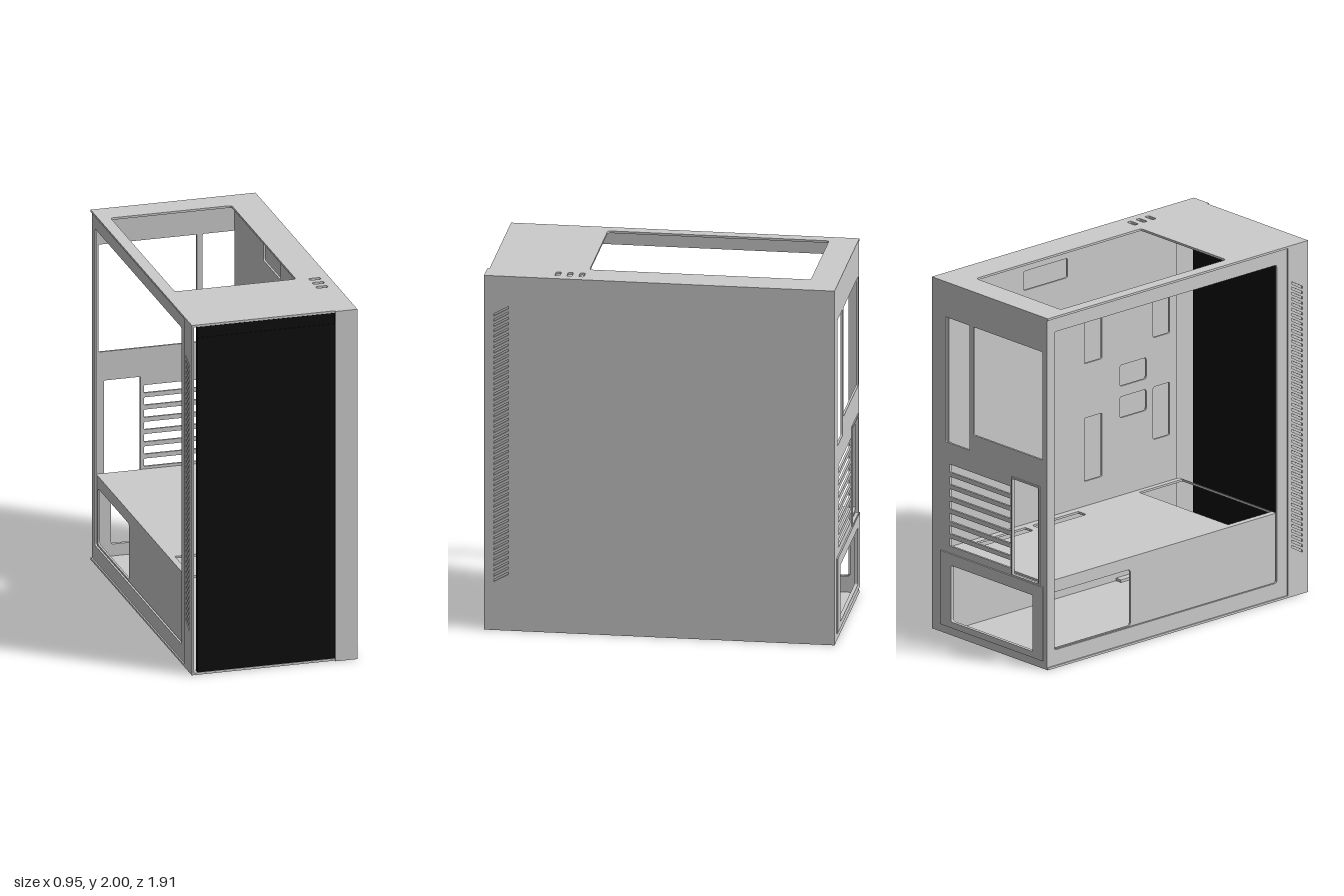
import * as THREE from 'three';

const T = 0.012; // sheet thickness
const W = 0.4625, D = 0.945, H = 2;

const grey = new THREE.MeshStandardMaterial({ color: 0xcccccc, side: THREE.DoubleSide });
const black = new THREE.MeshStandardMaterial({ color: 0x0d0d0d });

// Rounded rectangular cutout
function roundHole(a0, b0, a1, b1, r = 0.012) {
  const p = new THREE.Path();
  p.moveTo(a0 + r, b0);
  p.lineTo(a1 - r, b0);
  p.quadraticCurveTo(a1, b0, a1, b0 + r);
  p.lineTo(a1, b1 - r);
  p.quadraticCurveTo(a1, b1, a1 - r, b1);
  p.lineTo(a0 + r, b1);
  p.quadraticCurveTo(a0, b1, a0, b1 - r);
  p.lineTo(a0, b0 + r);
  p.quadraticCurveTo(a0, b0, a0 + r, b0);
  return p;
}

// Flat sheet with cutouts. The rectangle is (x,y) for axis z, (z,y) for axis x, (x,z) for axis y.
// For x and y "at" is the greater face, for z the lesser one.
function sheet(name, axis, at, [a0, b0, a1, b1], holes = [], depth = T) {
  const shape = new THREE.Shape([[a0, b0], [a1, b0], [a1, b1], [a0, b1]].map(([a, b]) => new THREE.Vector2(a, b)));
  shape.holes.push(...holes);
  const geo = new THREE.ExtrudeGeometry(shape, { depth, bevelEnabled: false, curveSegments: 4 });
  if (axis === 'x') geo.rotateY(-Math.PI / 2);
  if (axis === 'y') geo.rotateX(Math.PI / 2);
  const mesh = new THREE.Mesh(geo, grey);
  mesh.name = name;
  mesh.position[axis] = at;
  return mesh;
}

function box(name, [x0, y0, z0], [x1, y1, z1], material = grey) {
  const mesh = new THREE.Mesh(new THREE.BoxGeometry(x1 - x0, y1 - y0, z1 - z0), material);
  mesh.name = name;
  mesh.position.set((x0 + x1) / 2, (y0 + y1) / 2, (z0 + z1) / 2);
  return mesh;
}

// Column of slanted intake slots near the front edge of each side
function ventSlots(start) {
  return Array.from({ length: 51 }, (_, i) => {
    const y = start + i * 0.03;
    const corners = [[0.825, y + 0.045], [0.905, y], [0.905, y + 0.013], [0.825, y + 0.058]];
    return new THREE.Path(corners.map(([a, b]) => new THREE.Vector2(a, b)));
  });
}

export function createModel() {
  const model = new THREE.Group();
  model.name = 'computerCase';
  const body = new THREE.Group();
  body.name = 'caseBody';
  body.rotation.y = 0.015;
  model.add(body);

  // Top with fan opening and three port cutouts over a port board
  const ports = [0.437, 0.502, 0.567].map((z) => roundHole(0.348, z - 0.014, 0.411, z + 0.014, 0.008));
  body.add(sheet('topPanel', 'y', H, [-W, -D, W, D],
    [roundHole(-0.397, -0.79, 0.282, 0.41, 0.02), ...ports]));
  body.add(box('portBoard', [0.335, H - 0.018, 0.415], [0.425, H - T, 0.59]));

  // Bottom with a filter slot at the front and a filled one at the rear
  body.add(sheet('bottomPanel', 'y', T, [-W, -D, W, D],
    [roundHole(0.36, 0.26, 0.42, 0.84), roundHole(0.36, -0.9, 0.42, -0.45)]));
  body.add(box('frontFilterTray', [0.3, T, 0.28], [0.39, T + 0.015, 0.8]));
  body.add(box('rearFilter', [0.36, 0.005, -0.9], [0.42, T + 0.004, -0.45]));

  // Solid side with intake slots over a thin filter
  body.add(sheet('solidSidePanel', 'x', W, [-D, T, D, H - T], ventSlots(0.272)));
  body.add(box('solidSideFilter', [W - T, 0.25, 0.81], [W - T + 0.004, 1.86, 0.92]));

  // Open side: inset window frame and slotted front pillar with its filter
  body.add(sheet('windowFrame', 'x', -W + 0.008 + T, [-D, T, 0.8, H - T],
    [roundHole(-0.89, 0.1, 0.725, 1.91, 0.015)]));
  body.add(sheet('frontPillar', 'x', -W + T, [0.8, T, D, H - T], ventSlots(0.235)));
  body.add(box('frontPillarFilter', [-W + T - 0.004, 0.21, 0.81], [-W + T, 1.82, 0.92]));

  // Back wall: port window, cable window, card bracket window, power supply bay, card slots
  const backHoles = [
    roundHole(-0.42, 1.185, 0.13, 1.8, 0.006),
    roundHole(0.163, 1.09, 0.355, 1.8, 0.006),
    roundHole(-0.39, 0.475, -0.185, 1.02, 0.006),
    roundHole(-0.35, 0.08, 0.3, 0.4, 0.01),
  ];
  for (let i = 0; i < 7; i++) {
    const y = 0.505 + i * 0.07;
    backHoles.push(roundHole(-0.165, y, 0.32, y + 0.045, 0.004));
  }
  body.add(sheet('backWall', 'z', -D, [-W + 0.008, T, W - T, H - T], backHoles));
  body.add(sheet('powerSupplyPlate', 'z', -D - 0.008, [-0.43, 0.045, 0.39, 0.465],
    [roundHole(-0.35, 0.08, 0.3, 0.4, 0.01)], 0.008));
  body.add(sheet('cardBracketRim', 'z', -D - 0.006, [-0.4, 0.465, -0.175, 1.03],
    [roundHole(-0.39, 0.475, -0.185, 1.02, 0.006)], 0.006));

  // Internal tray with cable cutouts
  body.add(sheet('motherboardTray', 'x', 0.352, [-D + T, T, 0.72, H - T], [
    roundHole(-0.39, 1.82, -0.07, 1.93),
    roundHole(0.05, 1.3, 0.18, 1.6),
    roundHole(0.05, 0.63, 0.18, 0.99),
    roundHole(0.31, 1.11, 0.5, 1.23),
    roundHole(0.31, 0.93, 0.5, 1.05),
    roundHole(0.55, 1.33, 0.67, 1.6),
    roundHole(0.55, 0.75, 0.67, 1.05),
  ]));

  // Power supply shroud, cut away at the front between two narrow ledges
  body.add(sheet('shroudTop', 'y', 0.49, [-0.435, -D + T, 0.34, 0.74], [
    roundHole(0.235, -0.79, 0.3, -0.415),
    roundHole(0.235, -0.365, 0.3, -0.03),
    roundHole(-0.4, 0.42, 0.31, 0.735, 0.004),
  ]));
  body.add(sheet('shroudSide', 'x', -0.423, [-D + T, T, 0.74, 0.478],
    [roundHole(-0.9, 0.1, -0.32, 0.42, 0.02)]));

  // Front: dark panel with a set-back upper band and side border, and a grey strip beside it
  body.add(box('frontPanel', [-0.43, T, 0.915], [0.34, 1.925, D - 0.003], black));
  body.add(box('frontPanelTopBand', [-0.43, 1.925, 0.912], [0.34, 1.985, D - 0.006], black));
  body.add(box('frontPanelSideBorder', [0.34, T, 0.918], [0.425, H - T, D - 0.003], black));
  body.add(box('frontStrip', [0.34, 0, D], [W, H, 0.957]));

  return model;
}
